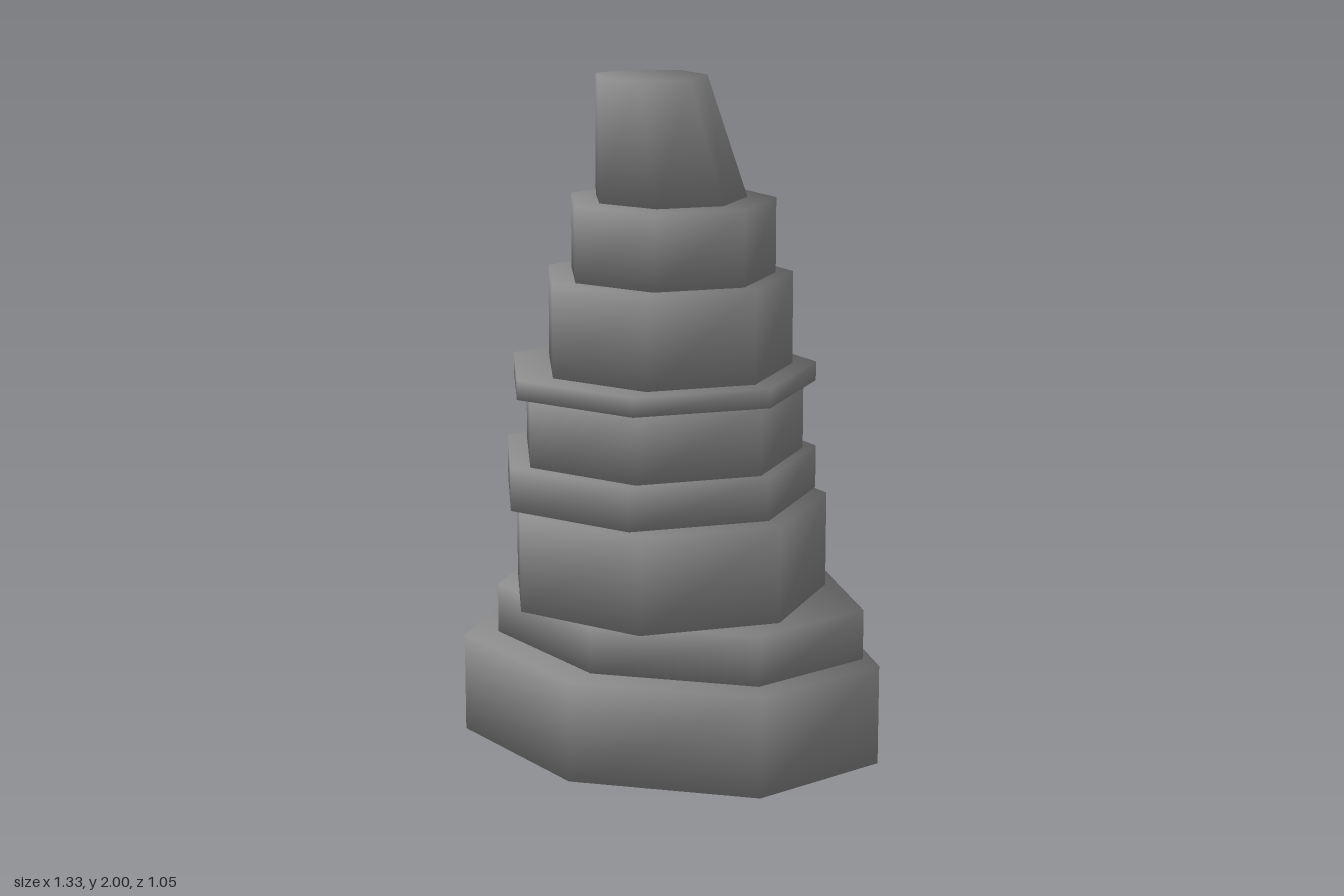
import * as THREE from 'three';

const SIDES = 7;

// Smooth normals, each face weighted by its angle at the corner
function smoothNormals(points, index) {
  const normals = points.map(() => new THREE.Vector3());
  for (let i = 0; i < index.length; i += 3) {
    const face = index.slice(i, i + 3);
    const n = new THREE.Triangle(...face.map((k) => points[k])).getNormal(new THREE.Vector3());
    face.forEach((k, j) => {
      const a = points[face[(j + 1) % 3]].clone().sub(points[k]);
      const b = points[face[(j + 2) % 3]].clone().sub(points[k]);
      normals[k].addScaledVector(n, a.angleTo(b));
    });
  }
  return normals.map((n) => n.normalize());
}

// Seven-sided block from y0 to y1; each ring is { x, z, rx, rz }.
// turn = 0 points a corner to the front, Math.PI points it to the back.
// Corners are shared by sides and caps, so the shading is smooth all over.
function block(name, y0, y1, bottom, top = bottom, turn = Math.PI) {
  const points = [];
  for (const [y, r] of [[y0, bottom], [y1, top]]) {
    for (let i = 0; i < SIDES; i++) {
      const a = turn + ((i + 1) / SIDES) * Math.PI * 2;
      points.push(new THREE.Vector3(r.x + Math.sin(a) * r.rx, y, r.z + Math.cos(a) * r.rz));
    }
  }
  const index = [];
  for (let i = 0; i < SIDES; i++) {
    const j = (i + 1) % SIDES;
    index.push(i, j, j + SIDES, i, j + SIDES, i + SIDES);
  }
  // Caps fan out from the first corner of each ring
  for (let i = 1; i < SIDES - 1; i++) {
    index.push(0, i + 1, i, SIDES, SIDES + i, SIDES + i + 1);
  }
  const geometry = new THREE.BufferGeometry().setFromPoints(points);
  geometry.setIndex(index);
  const normals = smoothNormals(points, index).flatMap((n) => n.toArray());
  geometry.setAttribute('normal', new THREE.Float32BufferAttribute(normals, 3));
  const mesh = new THREE.Mesh(geometry, new THREE.MeshStandardMaterial({ color: 0x8c8c8c }));
  mesh.name = name;
  return mesh;
}

const ring = (x, z, rx, rz = rx) => ({ x, z, rx, rz });

export function createModel() {
  const group = new THREE.Group();
  group.name = 'stackedRockTower';

  // Two wide oval slabs with a corner to the front
  const base = ring(0.001, 0.008, 0.681, 0.519);
  const step = ring(0.005, -0.037, 0.601, 0.459);
  group.add(block('baseSlab', 0, 0.3, base, base, 0));
  group.add(block('stepSlab', 0.3, 0.45, step, step, 0));

  // Round layers, slightly off centre, with a corner to the back
  const layers = [
    ['lowerDrum', 0.45, 0.738, ring(-0.022, -0.001, 0.487)],
    ['lowerLedge', 0.738, 0.868, ring(-0.084, -0.039, 0.487)],
    ['middleDrum', 0.868, 1.076, ring(-0.061, -0.027, 0.434)],
    ['thinLedge', 1.083, 1.14, ring(-0.042, 0.004, 0.471)],
    ['upperDrum', 1.14, 1.417, ring(-0.015, 0.004, 0.377)],
    ['neckDrum', 1.417, 1.64, ring(0.004, 0.012, 0.313)],
  ];
  for (const [name, y0, y1, r] of layers) group.add(block(name, y0, y1, r));

  // Leaning, tapered peak
  group.add(block('peak', 1.64, 2, ring(-0.006, 0.002, 0.231), ring(-0.035, 0.058, 0.168)));
  return group;
}
